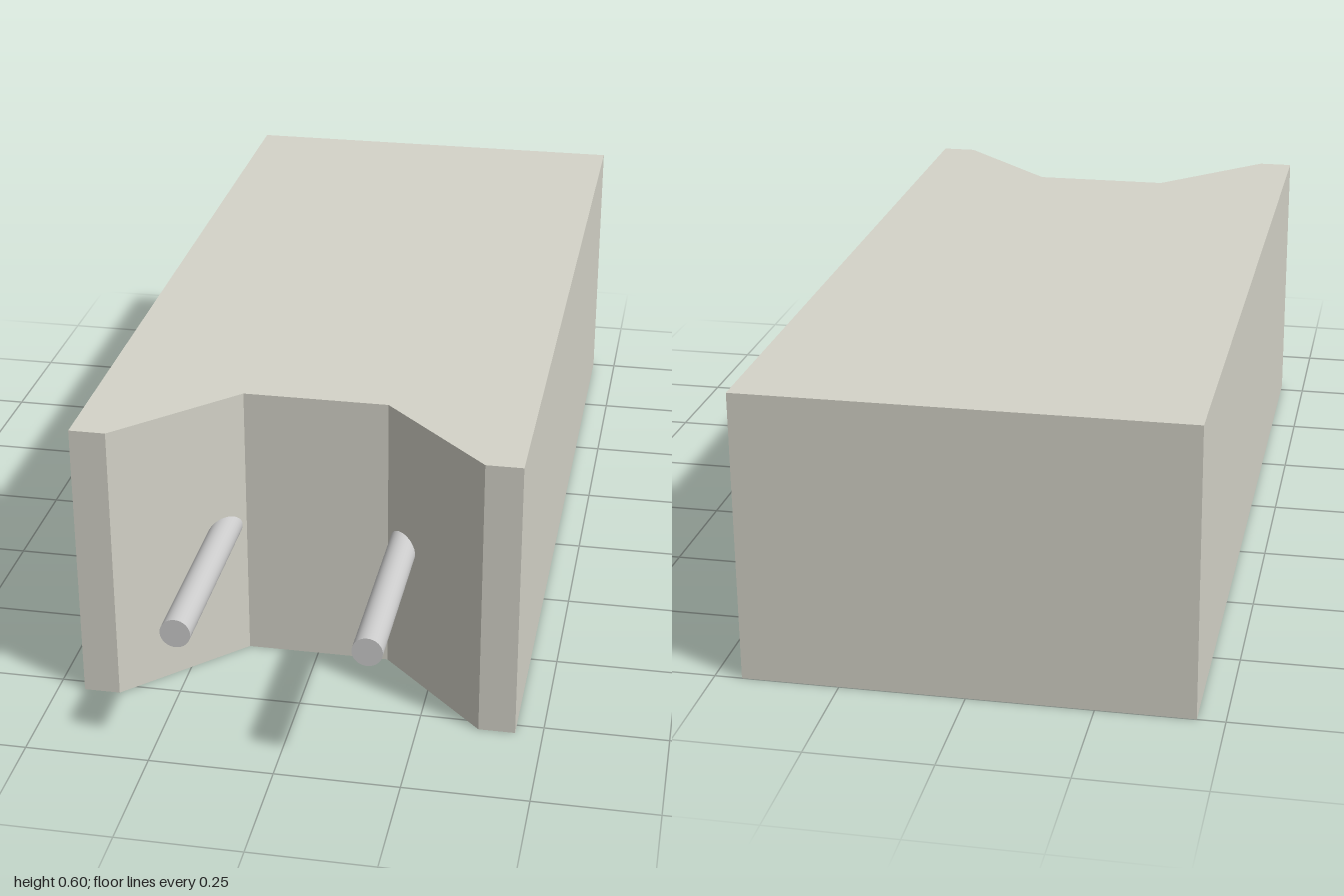
import * as THREE from 'three';

const HEIGHT = 0.595;

export function createModel() {
  const group = new THREE.Group();
  const bodyMaterial = new THREE.MeshStandardMaterial({ color: 0xd4d3c8 });
  const pinMaterial = new THREE.MeshStandardMaterial({ color: 0xcccccc });

  // Block with a tapered notch in the front: half outline (x, z), mirrored
  const half = [[0.445, -1], [0.445, 0.778], [0.371, 0.778], [0.148, 0.555]];
  const mirrored = half.map(([x, z]) => [-x, z]).reverse();
  const outline = [...half, ...mirrored].map(([x, z]) => new THREE.Vector2(x, z));
  const bodyGeometry = new THREE.ExtrudeGeometry(new THREE.Shape(outline), {
    depth: HEIGHT,
    bevelEnabled: false,
  });
  bodyGeometry.rotateX(Math.PI / 2).translate(0, HEIGHT, 0);
  const body = new THREE.Mesh(bodyGeometry, bodyMaterial);
  body.name = 'body';
  group.add(body);

  // Round pins emerging from the slanted notch walls
  const pinStart = 0.53;
  const pinGeometry = new THREE.CylinderGeometry(0.03, 0.03, 1 - pinStart, 32);
  pinGeometry.rotateX(Math.PI / 2);
  for (const [name, side] of [['leftPin', 1], ['rightPin', -1]]) {
    const pin = new THREE.Mesh(pinGeometry, pinMaterial);
    pin.name = name;
    pin.position.set(side * 0.185, HEIGHT / 2, (1 + pinStart) / 2);
    group.add(pin);
  }

  return group;
}
